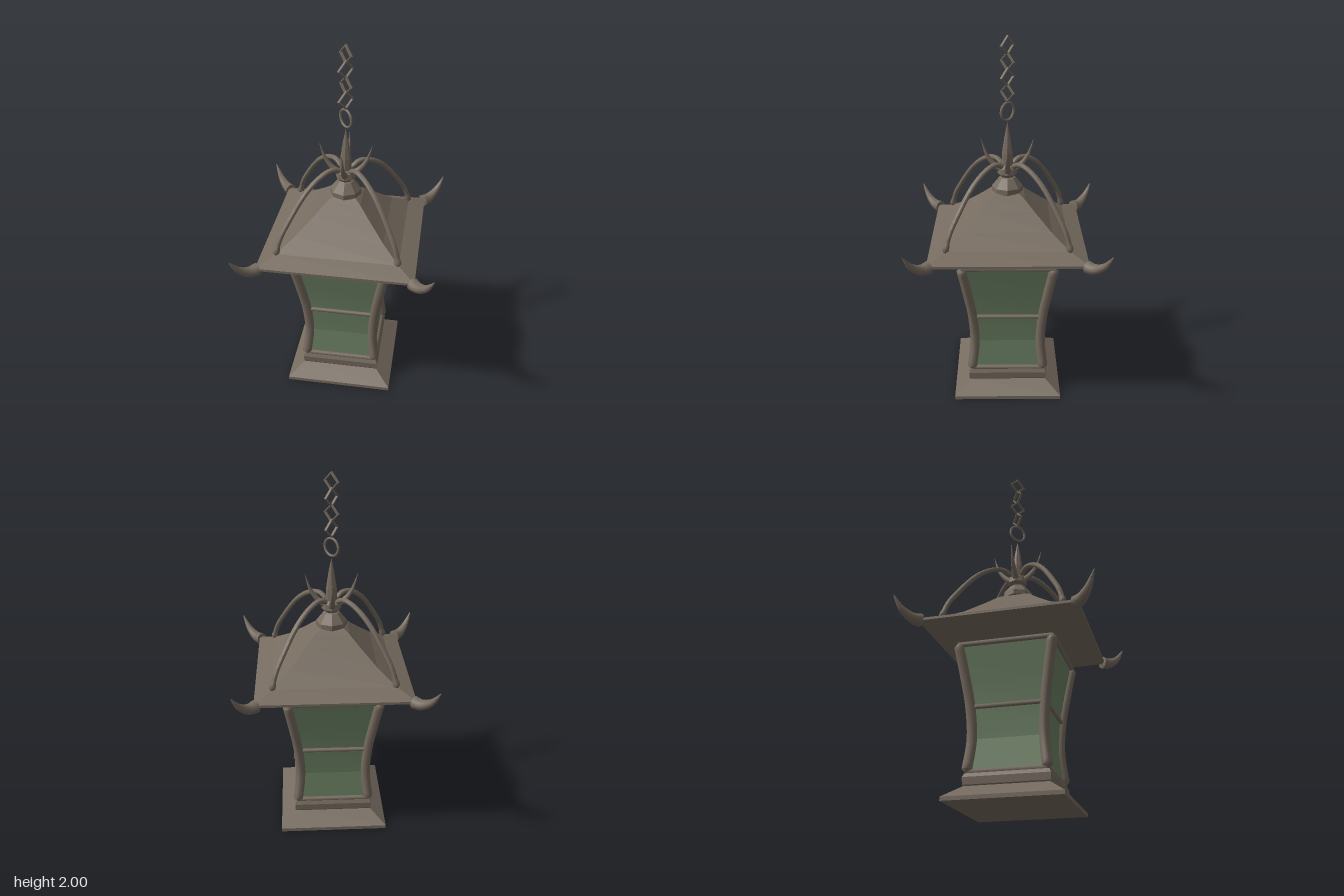
import * as THREE from 'three';
import { toCreasedNormals } from 'three/addons/utils/BufferGeometryUtils.js';

export function createModel() {
  const metal = new THREE.MeshStandardMaterial({ color: 0x766b5f });
  metal.name = 'bronze metal';
  const glass = new THREE.MeshStandardMaterial({ color: 0x6b8063 });
  glass.name = 'green glass';

  const model = new THREE.Group();
  model.name = 'hangingLantern';

  function add(parent, name, geometry, material = metal) {
    const mesh = new THREE.Mesh(geometry, material);
    mesh.name = name;
    parent.add(mesh);
    return mesh;
  }

  // Faceted solid of revolution; 4 sides gives a square with corners on the axes
  function faceted(profile, sides) {
    const points = profile.map(([r, y]) => new THREE.Vector2(r, y));
    return toCreasedNormals(new THREE.LatheGeometry(points, sides), 0.1);
  }

  // Curved tube in the XY plane whose radius follows a rule; ends are closed
  function taperedTube(points, radiusAt, segments = 24, sides = 10) {
    const path = new THREE.CatmullRomCurve3(points.map(([x, y]) => new THREE.Vector3(x, y, 0)));
    const geometry = new THREE.TubeGeometry(path, segments, 1, sides);
    const position = geometry.attributes.position;
    const v = new THREE.Vector3();
    for (let i = 0; i <= segments; i++) {
      const u = i / segments;
      const centre = path.getPointAt(u);
      const radius = i === 0 || i === segments ? 0 : radiusAt(u);
      for (let j = 0; j <= sides; j++) {
        const k = i * (sides + 1) + j;
        v.fromBufferAttribute(position, k).sub(centre).multiplyScalar(radius).add(centre);
        position.setXYZ(k, v.x, v.y, v.z);
      }
    }
    return toCreasedNormals(geometry, 0.9);
  }

  // Stepped square base
  add(model, 'base', faceted([
    [0, 0], [0.425, 0], [0.425, 0.02], [0.305, 0.082], [0.31, 0.088],
    [0.313, 0.125], [0.3, 0.145], [0, 0.145],
  ], 4));

  // Flared glass panes
  const flare = [[0.288, 0.14], [0.263, 0.32], [0.277, 0.49], [0.31, 0.64], [0.36, 0.83]];
  add(model, 'glassPanes', faceted(flare.map(([r, y]) => [r - 0.005, y]), 4), glass);

  // Curved square roof with thin eaves
  add(model, 'roof', faceted([
    [0, 0.82], [0.33, 0.82], [0.59, 0.898], [0.59, 0.912], [0.46, 0.95], [0.33, 1.015],
    [0.2, 1.1], [0.13, 1.15], [0.07, 1.18], [0, 1.18],
  ], 4));

  // Parts repeated at each corner
  const postShape = taperedTube([[0.29, 0.14], ...flare.slice(1, 4), [0.357, 0.825]], () => 0.027, 28);
  const hornShape = taperedTube(
    [[0.565, 0.902], [0.62, 0.906], [0.675, 0.938], [0.71, 0.98], [0.732, 1.015]],
    (u) => 0.036 * Math.pow(1 - u, 0.85) + 0.001);
  const archShape = taperedTube(
    [[0.463, 0.94], [0.43, 1.03], [0.385, 1.1], [0.255, 1.255], [0.15, 1.322], [0.085, 1.333], [0.03, 1.305]],
    (u) => (u < 0.06 ? 0.018 : 0.014), 36, 8);
  const thornShape = taperedTube(
    [[0.02, 1.28], [0.07, 1.315], [0.11, 1.37], [0.142, 1.465]],
    (u) => 0.021 * (1 - u) + 0.0005, 16, 8);
  const rails = [[0.283, 0.152, 0.014], [0.277, 0.485, 0.012], [0.355, 0.812, 0.014]];

  for (let i = 0; i < 4; i++) {
    const corner = new THREE.Group();
    corner.name = 'corner' + (i + 1);
    corner.rotation.y = i * Math.PI / 2;
    model.add(corner);
    add(corner, 'post', postShape);
    add(corner, 'eaveHorn', hornShape);
    add(corner, 'roofArch', archShape);
    add(corner, 'finialThorn', thornShape).rotation.y = Math.PI / 4;
    // Horizontal bars from this corner to the next
    for (const [r, y, thickness] of rails) {
      const line = new THREE.LineCurve3(new THREE.Vector3(r, y, 0), new THREE.Vector3(0, y, r));
      add(corner, 'paneRail', new THREE.TubeGeometry(line, 1, thickness, 8));
    }
  }

  // Finial: collar, knob and spike
  add(model, 'finial', faceted([
    [0, 1.155], [0.065, 1.155], [0.085, 1.168], [0.085, 1.195], [0.045, 1.245], [0.036, 1.25],
    [0.054, 1.268], [0.05, 1.3], [0.031, 1.315], [0.029, 1.38], [0.016, 1.47], [0, 1.55],
  ], 8));

  // Hanging ring and alternating diamond links
  const chain = new THREE.Group();
  chain.name = 'chain';
  model.add(chain);
  const ring = add(chain, 'hangingRing', new THREE.TorusGeometry(0.047, 0.007, 8, 24));
  ring.position.y = 1.607;
  ring.rotation.y = Math.PI / 2;
  const linkShape = toCreasedNormals(new THREE.TorusGeometry(0.044, 0.008, 6, 4), 1.1);
  for (let i = 0; i < 4; i++) {
    const link = add(chain, 'chainLink', linkShape);
    link.position.y = 1.706 + i * 0.0805;
    link.rotation.y = (i % 2) * Math.PI / 2;
  }

  return model;
}
